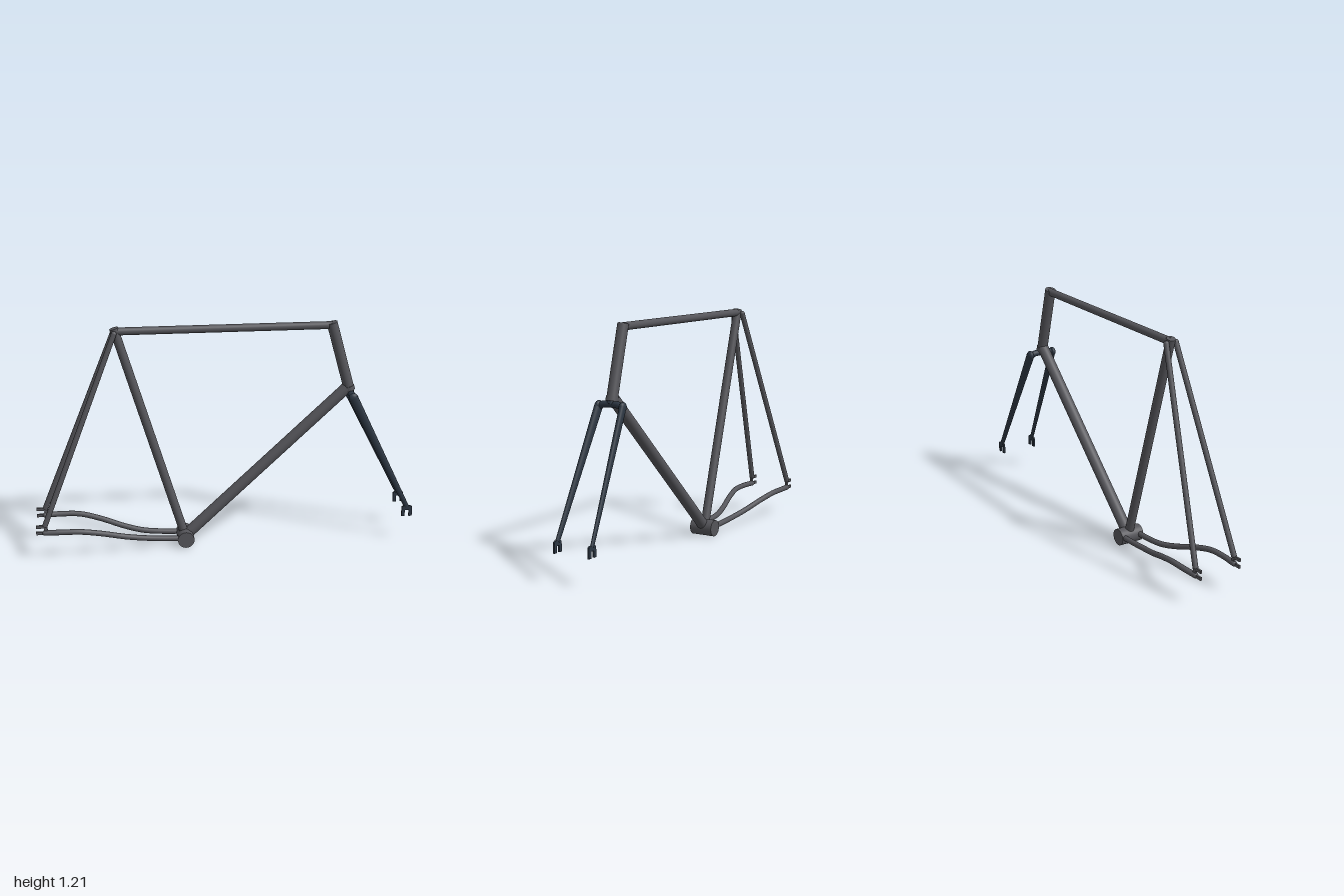
import * as THREE from 'three';

const V = (x, y, z = 0) => new THREE.Vector3(x, y, z);

export function createModel() {
  const model = new THREE.Group();
  const frameMat = new THREE.MeshStandardMaterial({ color: 0x55555a });
  const forkMat = new THREE.MeshStandardMaterial({ color: 0x2c3642 });

  function add(name, geometry, material = frameMat) {
    const mesh = new THREE.Mesh(geometry, material);
    mesh.name = name;
    model.add(mesh);
    return mesh;
  }

  // Straight tube from a to b; flat < 1 squeezes it sideways into an oval
  function strut(name, a, b, ra, rb = ra, material = frameMat, flat = 1) {
    const dir = b.clone().sub(a);
    const mesh = add(name, new THREE.CylinderGeometry(rb, ra, dir.length(), 32), material);
    mesh.position.copy(a).add(b).multiplyScalar(0.5);
    mesh.quaternion.setFromUnitVectors(V(0, 1, 0), dir.normalize());
    mesh.scale.z = flat;
    return mesh;
  }

  function ball(name, p, r, material = frameMat, flat = 1) {
    const mesh = add(name, new THREE.SphereGeometry(r, 24, 16), material);
    mesh.position.copy(p);
    mesh.scale.z = flat;
  }

  // Thin plate with an open slot, drawn with the slot facing down
  function dropout(name, p, angle, w, h, slotW, slotH, material) {
    const s = new THREE.Shape();
    [[-w, -h], [-slotW, -h], [-slotW, -h + slotH], [slotW, -h + slotH], [slotW, -h],
      [w, -h], [w, h * 0.75], [w * 0.6, h], [-w * 0.6, h], [-w, h * 0.75]]
      .forEach(([x, y], i) => (i ? s.lineTo(x, y) : s.moveTo(x, y)));
    const geo = new THREE.ExtrudeGeometry(s, { depth: 0.01, bevelEnabled: false });
    geo.translate(0, 0, -0.005);
    const mesh = add(name, geo, material);
    mesh.position.copy(p);
    mesh.rotation.z = angle;
  }

  // Main triangle
  const bracket = V(-0.215, 0.044);
  const seatTop = V(-0.56, 1.187);
  strut('bottomBracketShell', V(-0.215, 0.044, -0.065), V(-0.215, 0.044, 0.065), 0.044);
  strut('seatTube', bracket, V(-0.565, 1.203), 0.023);
  strut('topTube', seatTop, V(0.555, 1.185), 0.02);
  strut('downTube', bracket, V(0.64, 0.845), 0.03);
  strut('headTube', V(0.649, 0.848), V(0.552, 1.199), 0.028);
  strut('lowerHeadRing', V(0.653, 0.832), V(0.647, 0.855), 0.031);

  // Fork crown: a bowed bar joining both legs under the head tube
  strut('steererStub', V(0.657, 0.818), V(0.648, 0.85), 0.023, 0.023, forkMat);
  const crown = new THREE.CatmullRomCurve3([
    V(0.662, 0.803, -0.068), V(0.66, 0.815, -0.052), V(0.657, 0.819, 0),
    V(0.66, 0.815, 0.052), V(0.662, 0.803, 0.068)]);
  add('forkCrown', new THREE.TubeGeometry(crown, 32, 0.017, 16), forkMat);

  for (const s of [1, -1]) {
    const side = s > 0 ? 'Front' : 'Back';

    // Tapered fork leg with its tip
    const legTop = V(0.662, 0.81, 0.07 * s), legEnd = V(0.965, 0.195, 0.1 * s);
    strut('forkLeg' + side, legTop, legEnd, 0.025, 0.013, forkMat, 0.65);
    ball('forkShoulder' + side, legTop, 0.025, forkMat, 0.65);
    dropout('forkDropout' + side, V(0.967, 0.172, 0.1 * s), 0, 0.028, 0.03, 0.011, 0.034, forkMat);

    // Seat stay
    const stayTop = V(-0.566, 1.182, 0.028 * s);
    strut('seatStay' + side, V(-0.955, 0.185, 0.116 * s), stayTop, 0.014);
    ball('seatStayCap' + side, stayTop, 0.014);

    // S-bent chain stay
    const bend = new THREE.CatmullRomCurve3([
      [-0.955, 0.149, 0.116], [-0.87, 0.15, 0.121], [-0.77, 0.146, 0.118], [-0.66, 0.122, 0.099],
      [-0.54, 0.086, 0.071], [-0.44, 0.064, 0.052], [-0.33, 0.053, 0.047], [-0.215, 0.048, 0.047]]
      .map(([x, y, z]) => V(x, y, z * s)));
    add('chainStay' + side, new THREE.TubeGeometry(bend, 64, 0.0145, 16));
    ball('chainStayEnd' + side, V(-0.955, 0.149, 0.116 * s), 0.0145);

    // Rear dropout, slot opening backwards
    dropout('rearDropout' + side, V(-0.97, 0.166, 0.116 * s), -Math.PI / 2, 0.026, 0.03, 0.01, 0.04, frameMat);
  }
  return model;
}
